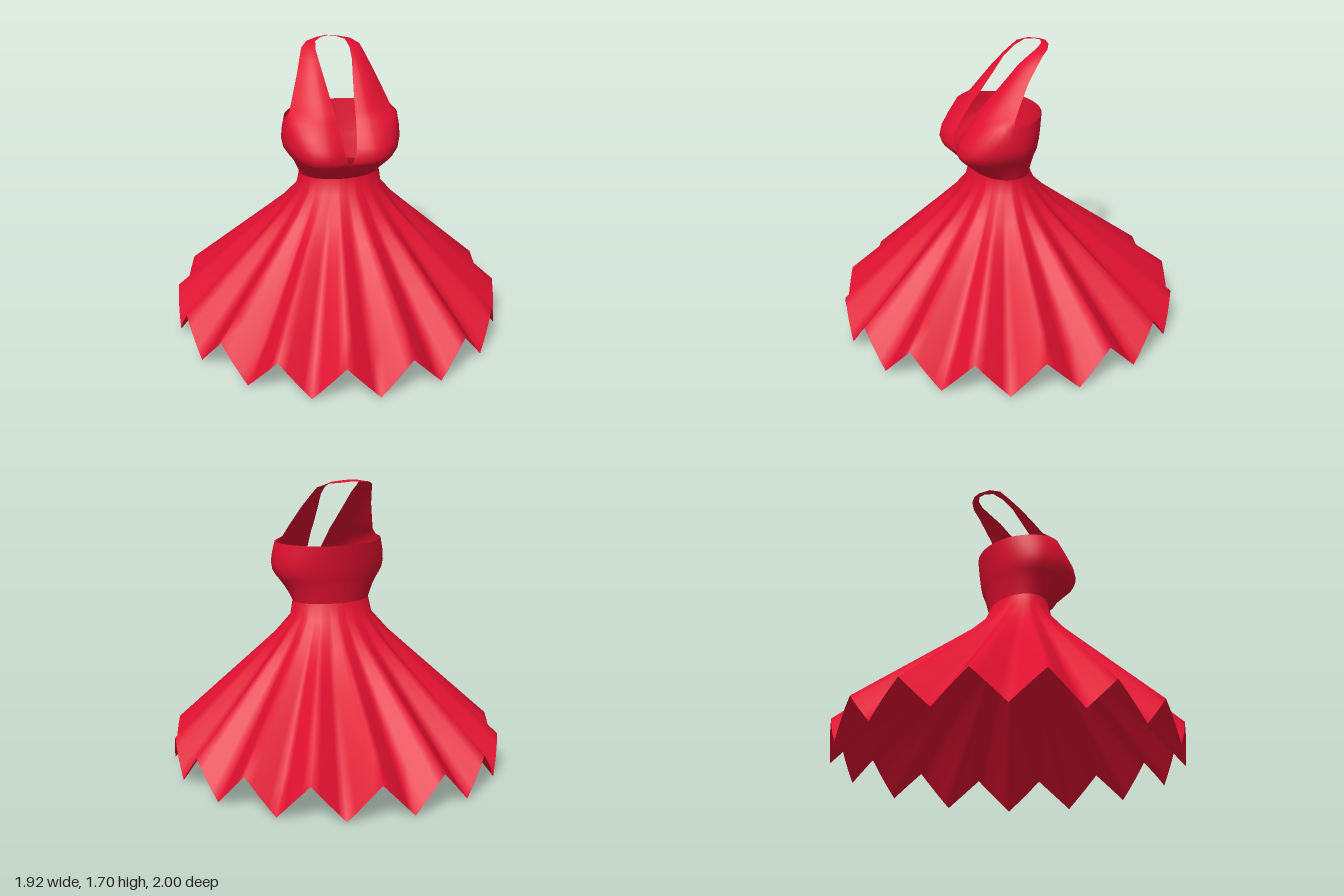
import * as THREE from 'three';
import { mergeGeometries, mergeVertices } from 'three/addons/utils/BufferGeometryUtils.js';

const { lerp } = THREE.MathUtils;
const HALF_PI = Math.PI / 2;

// Skin a list of equal-length rows of [x, y, z]; rows run upward, columns to the right.
function sheet(rows, mirrored = false) {
  const n = rows[0].length;
  const sign = mirrored ? -1 : 1;
  const position = rows.flat().flatMap(([x, y, z]) => [x * sign, y, z]);
  const index = [];
  for (let i = 0; i < rows.length - 1; i++) {
    for (let j = 0; j < n - 1; j++) {
      const a = i * n + j, b = a + 1, d = a + n, c = d + 1;
      if (mirrored) index.push(a, c, b, a, d, c);
      else index.push(a, b, c, a, c, d);
    }
  }
  const geometry = new THREE.BufferGeometry();
  geometry.setAttribute('position', new THREE.Float32BufferAttribute(position, 3));
  geometry.setIndex(index);
  return geometry;
}

// Weld sheets together so normals run smoothly over their seams.
function weld(sheets) {
  const geometry = mergeVertices(mergeGeometries(sheets), 1e-4);
  geometry.computeVertexNormals();
  return geometry;
}

// Bodice levels: y, neckline half width, centre z, bust x, bust z, side x, side z, back z
const LEVELS = [
  [0.97, 0, 0.225, 0, 0.225, 0.235, 0.0625, -0.1],
  [1.0, 0, 0.25, 0.06, 0.25, 0.246, 0.065, -0.105],
  [1.05, 0, 0.298, 0.115, 0.305, 0.268, 0.07, -0.115],
  [1.09, 0, 0.326, 0.13, 0.347, 0.295, 0.08, -0.122],
  [1.105, 0.014, 0.331, 0.135, 0.356, 0.307, 0.082, -0.126],
  [1.14, 0.027, 0.336, 0.14, 0.366, 0.33, 0.085, -0.135],
  [1.19, 0.038, 0.325, 0.14, 0.35, 0.341, 0.09, -0.145],
  [1.25, 0.047, 0.285, 0.14, 0.307, 0.338, 0.1, -0.157],
  [1.32, 0.056, 0.23, 0.14, 0.25, 0.325, 0.11, -0.17],
];
const CUP = 5, FLANK = 8, BACK = 12;

// Half outline of one level: neckline to bust, bust to side, side to back centre.
function bodiceRow([y, v, zc, xb, zb, xs, zs, zBack]) {
  const row = [];
  for (let i = 0; i < CUP; i++) {
    const t = i / CUP;
    row.push([lerp(v, xb, t), y, lerp(zc, zb, Math.sin(t * HALF_PI))]);
  }
  for (let i = 0; i < FLANK; i++) {
    const a = (i / FLANK) * HALF_PI;
    row.push([xb + (xs - xb) * Math.sin(a), y, zs + (zb - zs) * Math.cos(a)]);
  }
  for (let i = 0; i <= BACK; i++) {
    const a = (i / BACK) * HALF_PI;
    row.push([xs * Math.cos(a), y, zs + (zBack - zs) * Math.sin(a)]);
  }
  return row;
}

// Halter strap stations: inner edge, outer edge, forward bulge
const STRAP = [
  [[0.06, 1.36, 0.2], [0.293, 1.355, 0.09], 0.05],
  [[0.068, 1.42, 0.142], [0.268, 1.42, 0.052], 0.042],
  [[0.085, 1.53, 0.045], [0.224, 1.53, -0.02], 0.028],
  [[0.096, 1.6, -0.015], [0.196, 1.6, -0.08], 0.018],
  [[0.1, 1.65, -0.08], [0.172, 1.655, -0.13], 0.01],
  [[0.088, 1.683, -0.14], [0.13, 1.677, -0.18], 0.004],
  [[0.045, 1.693, -0.182], [0.06, 1.685, -0.22], 0],
  [[0, 1.697, -0.195], [0, 1.69, -0.23], 0],
];

function createBodice() {
  const body = LEVELS.map(bodiceRow);
  const columns = CUP + FLANK;
  // The strap grows out of the front part of the top level.
  const base = body[body.length - 1].slice(0, columns + 1);
  const x0 = base[0][0], x1 = base[columns][0];
  const strap = [base, ...STRAP.map(([inner, outer, bulge]) => base.map(([x]) => {
    const t = (x - x0) / (x1 - x0);
    const p = inner.map((value, k) => lerp(value, outer[k], t));
    p[2] += bulge * Math.sin(Math.PI * t);
    return p;
  }))];
  return weld([sheet(body), sheet(body, true), sheet(strap), sheet(strap, true)]);
}

function createSkirt() {
  const POINTS = 16, SEGMENTS = 128;
  const ring = (fn) => Array.from({ length: SEGMENTS + 1 }, (_, j) => {
    const u = (j % SEGMENTS) / SEGMENTS;
    const phase = (u * POINTS) % 1;
    const zigzag = 1 - Math.abs(1 - 2 * phase); // 0 at a point, 1 at a notch
    const a = u * Math.PI * 2;
    return fn(Math.sin(a), Math.cos(a), zigzag);
  });
  const waist = ring((s, c) => [0.235 * s, 0.97, 0.0625 + 0.1625 * c]);
  const hip = ring((s, c) => [0.25 * s, 0.88, 0.055 + 0.195 * c]);
  const hem = ring((s, c, zig) => [0.96 * s, 0.195 * zig, c]);
  // Pleats fan out from the hip to the pointed hem with a slight sag.
  const rows = [];
  for (const t of [1, 0.8, 0.6, 0.4, 0.27, 0.14]) {
    const sag = 0.02 * Math.min(1, (1 - t) / 0.8);
    rows.push(hip.map((p, j) => {
      const q = p.map((value, k) => lerp(value, hem[j][k], t));
      q[1] -= sag;
      return q;
    }));
  }
  rows.push(hip, waist);
  return weld([sheet(rows)]);
}

export function createModel() {
  const fabric = new THREE.MeshStandardMaterial({ color: 0xe01030, side: THREE.DoubleSide });
  const group = new THREE.Group();
  group.name = 'halterDress';
  const parts = { halterBodice: createBodice(), pleatedSkirt: createSkirt() };
  for (const [name, geometry] of Object.entries(parts)) {
    const mesh = new THREE.Mesh(geometry, fabric);
    mesh.name = name;
    group.add(mesh);
  }
  return group;
}
